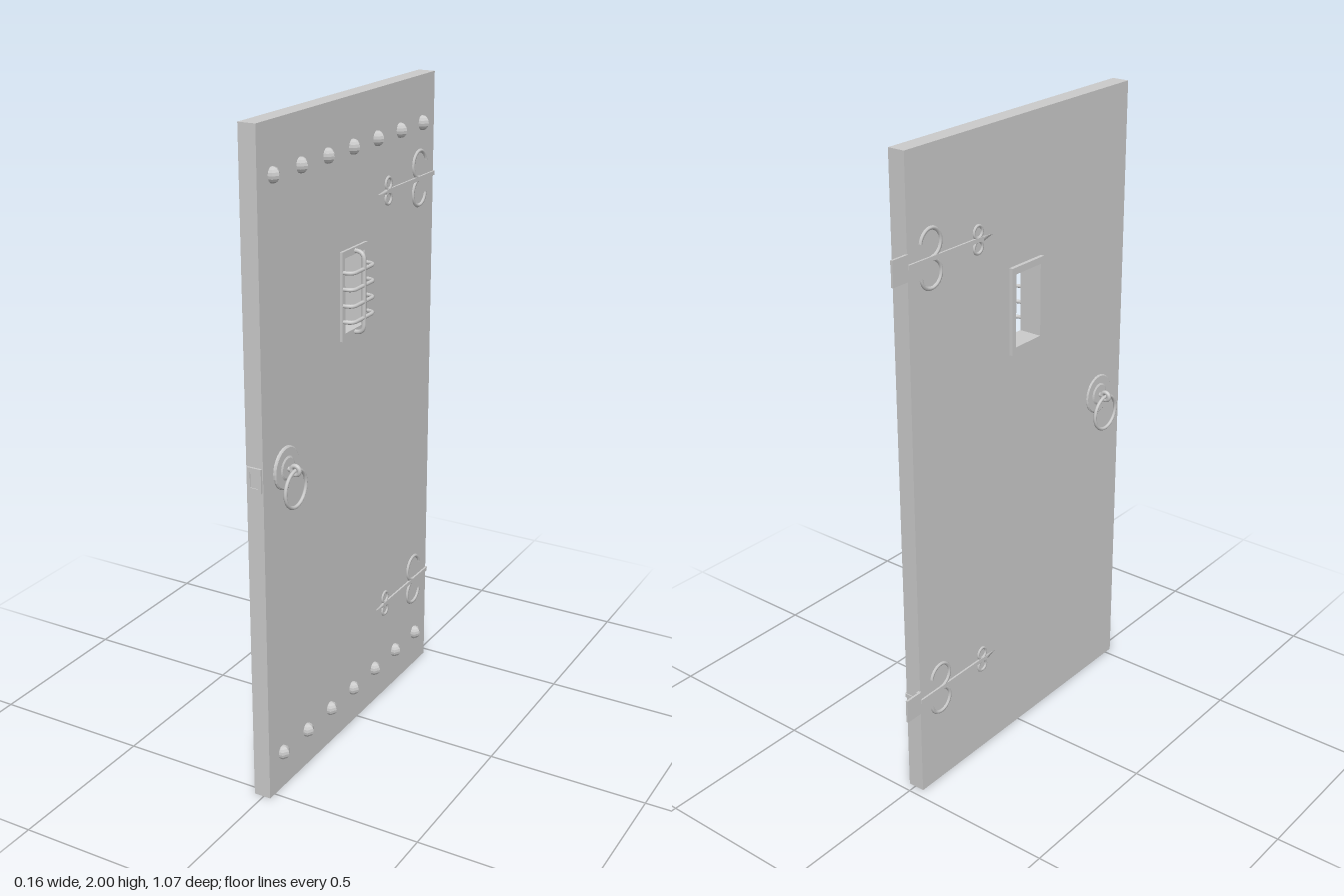
import * as THREE from 'three';

const mat = new THREE.MeshStandardMaterial({ color: 0xcccccc, side: THREE.DoubleSide });
const flat = new THREE.MeshStandardMaterial({ color: 0xcccccc, flatShading: true });

function add(parent, name, geo, x = 0, y = 0, z = 0, material = mat) {
  const m = new THREE.Mesh(geo, material);
  m.name = name;
  m.position.set(x, y, z);
  parent.add(m);
  return m;
}

// Rectangle path in the door plane; shape x stands for -z
function rect(path, z0, z1, y0, y1) {
  path.moveTo(-z1, y0);
  path.lineTo(-z0, y0);
  path.lineTo(-z0, y1);
  path.lineTo(-z1, y1);
  path.closePath();
  return path;
}

// Slab with a rectangular hole, running from x0 to x1
function slab(outer, hole, x0, x1) {
  const s = rect(new THREE.Shape(), ...outer);
  s.holes.push(rect(new THREE.Path(), ...hole));
  return new THREE.ExtrudeGeometry(s, { depth: x1 - x0, bevelEnabled: false })
    .rotateY(Math.PI / 2).translate(x0, 0, 0);
}

// Bar bent like a staple: runs from a to b and bulges toward +x
function staple(a, b, toPoint, radius) {
  const x0 = 0.015, x1 = 0.06, r = 0.025, d = Math.sign(b - a) * r;
  const p = (x, t) => toPoint(x, t);
  const path = new THREE.CurvePath();
  path.add(new THREE.LineCurve3(p(x0, a), p(x1 - r, a)));
  path.add(new THREE.QuadraticBezierCurve3(p(x1 - r, a), p(x1, a), p(x1, a + d)));
  path.add(new THREE.LineCurve3(p(x1, a + d), p(x1, b - d)));
  path.add(new THREE.QuadraticBezierCurve3(p(x1, b - d), p(x1, b), p(x1 - r, b)));
  path.add(new THREE.LineCurve3(p(x1 - r, b), p(x0, b)));
  return new THREE.TubeGeometry(path, 40, radius, 8, false);
}

// Ring handle for one face (side is +1 or -1)
function ringHandle(side) {
  const g = new THREE.Group();
  g.name = side > 0 ? 'ringHandleLeft' : 'ringHandleRight';
  const profile = [[0, 0.011], [0.03, 0.011], [0.036, 0.008], [0.06, 0.008], [0.064, 0.005], [0.064, 0]]
    .map(([r, h]) => new THREE.Vector2(r, h));
  add(g, 'backPlate', new THREE.LatheGeometry(profile, 28).rotateZ(-side * Math.PI / 2), 0, 1.024, 0.412,
    new THREE.MeshStandardMaterial({ color: 0xcccccc, flatShading: true, side: THREE.DoubleSide }));
  add(g, 'eyeShank', new THREE.CylinderGeometry(0.007, 0.007, 0.02, 10).rotateZ(Math.PI / 2), side * 0.014, 1.022, 0.412);
  add(g, 'eye', new THREE.TorusGeometry(0.013, 0.007, 8, 18), side * 0.033, 1.022, 0.412);
  add(g, 'pullRing', new THREE.TorusGeometry(0.055, 0.0055, 8, 32).rotateY(Math.PI / 2), side * 0.033, 0.966, 0.412);
  g.position.x = side > 0 ? 0.023 : -0.028;
  return g;
}

// Curled iron strap on one face, centred on height y
function hingeStrap(x, y) {
  const g = new THREE.Group();
  g.name = 'hingeStrap';
  add(g, 'strapBar', new THREE.BoxGeometry(0.012, 0.013, 0.31), 0, 0, -0.318);
  add(g, 'strapTip', new THREE.ConeGeometry(0.0092, 0.045, 4).rotateY(Math.PI / 4).rotateX(Math.PI / 2), 0, 0, -0.141);
  for (const s of [1, -1]) {
    // Large curl, opening toward the strap tip
    const curl = add(g, 'curl', new THREE.TorusGeometry(0.041, 0.006, 6, 24, Math.PI * 1.45)
      .rotateZ(Math.PI * 0.05).rotateY(Math.PI / 2), 0, s * 0.043, -0.38);
    curl.scale.y = s;
    // Small loop near the tip
    add(g, 'loop', new THREE.TorusGeometry(0.018, 0.005, 6, 16).rotateY(Math.PI / 2), 0, s * 0.022, -0.182);
  }
  g.position.set(x, y, 0);
  return g;
}

export function createModel() {
  const door = new THREE.Group();
  door.name = 'door';

  // Door leaf with its window opening
  add(door, 'doorPanel', slab([-0.473, 0.527, 0, 2], [-0.034, 0.097, 1.315, 1.56], -0.031, 0.023), 0, 0, 0, flat);
  add(door, 'windowFrame', slab([-0.044, 0.104, 1.304, 1.57], [-0.027, 0.088, 1.326, 1.549], -0.043, 0.031), 0, 0, 0, flat);

  // Window grille
  const grille = new THREE.Group();
  grille.name = 'windowGrille';
  door.add(grille);
  add(grille, 'uprightBar', staple(1.316, 1.559, (x, t) => new THREE.Vector3(x, t, 0.03), 0.007));
  for (const y of [1.363, 1.411, 1.46, 1.509])
    add(grille, 'crossBar', staple(-0.037, 0.097, (x, t) => new THREE.Vector3(x, y, t), 0.006));

  // Two rows of studs
  for (const y of [0.122, 1.857])
    for (let i = 0; i < 7; i++)
      add(door, 'stud', new THREE.SphereGeometry(0.0225, 6, 8), 0.025, y, 0.455 - i * 0.141, flat);

  door.add(ringHandle(1), ringHandle(-1));

  // Latch plate with its bolt on the free edge
  add(door, 'latchPlate', slab([-0.023, 0.023, 0.988, 1.06], [-0.013, 0.013, 1.0, 1.048], 0, 0.008)
    .rotateY(-Math.PI / 2), -0.003, 0, 0.526, flat);
  add(door, 'latchBolt', new THREE.BoxGeometry(0.026, 0.048, 0.006), -0.003, 1.024, 0.528, flat);

  // Hinges
  for (const y of [0.328, 1.69]) {
    const hinge = new THREE.Group();
    hinge.name = 'hinge';
    hinge.add(hingeStrap(0.023, y), hingeStrap(-0.031, y));
    add(hinge, 'edgeStrip', new THREE.BoxGeometry(0.06, 0.013, 0.006), -0.004, y, -0.473);
    add(hinge, 'knuckle', new THREE.BoxGeometry(0.009, 0.07, 0.012), -0.029, y, -0.477);
    add(hinge, 'hingeLeaf', new THREE.BoxGeometry(0.007, 0.075, 0.059), -0.0345, y, -0.5075);
    door.add(hinge);
  }
  return door;
}
